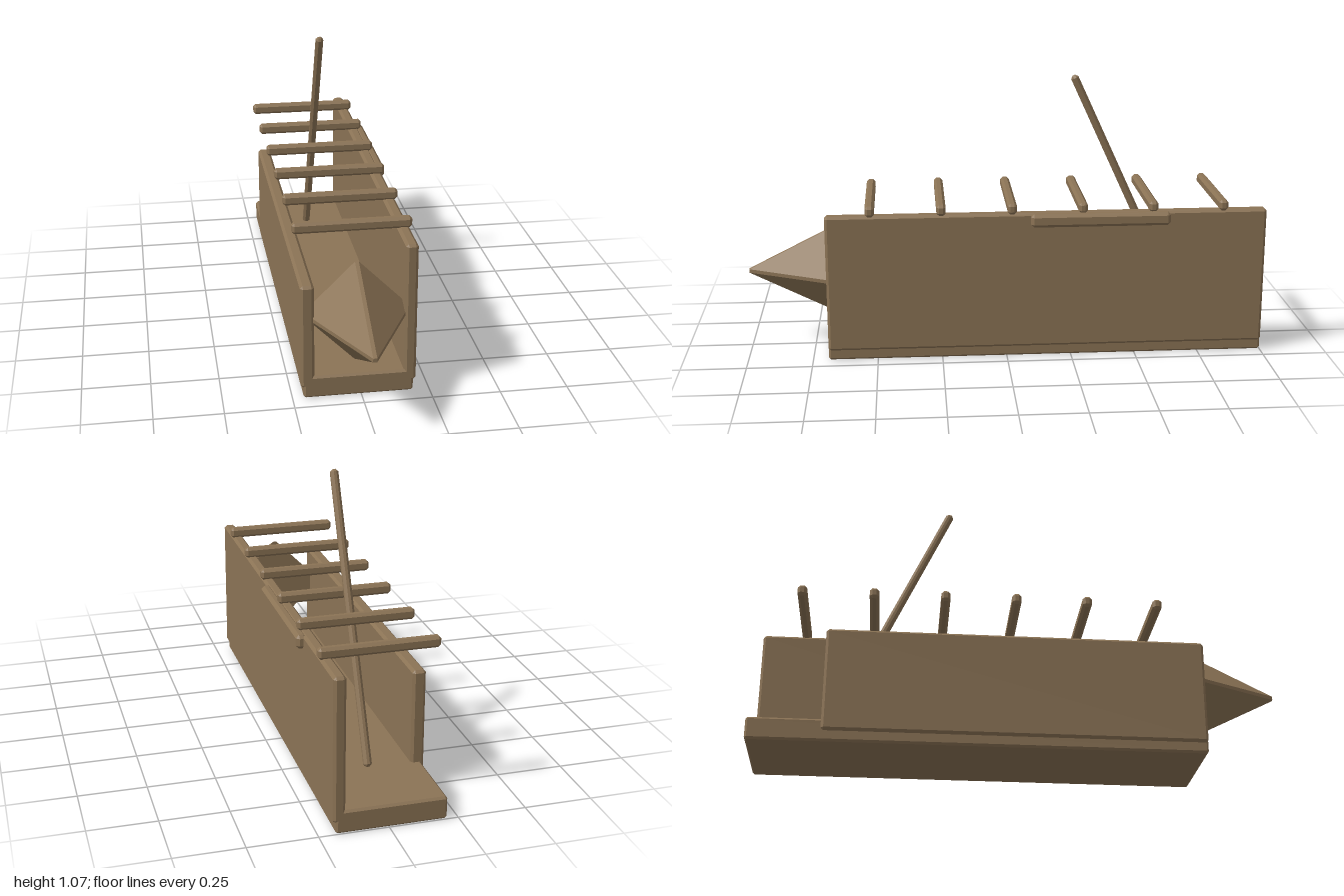
import * as THREE from 'three';
import { ConvexGeometry } from 'three/addons/geometries/ConvexGeometry.js';

const wood = new THREE.MeshStandardMaterial({ color: 0x8b7355 });
wood.name = 'brown wood';

// Box with flat chamfers on every edge, centred on the origin
function chamferBox(w, h, d, c = 0.01) {
  const half = [w / 2, h / 2, d / 2];
  const points = [];
  for (const sx of [-1, 1]) for (const sy of [-1, 1]) for (const sz of [-1, 1]) {
    const s = [sx, sy, sz];
    for (let axis = 0; axis < 3; axis++) {
      points.push(new THREE.Vector3(...s.map((v, i) => v * (half[i] - (i === axis ? 0 : c)))));
    }
  }
  return new ConvexGeometry(points);
}

export function createModel() {
  const model = new THREE.Group();
  model.name = 'openTrough';

  const add = (name, geometry) => {
    const mesh = new THREE.Mesh(geometry, wood);
    mesh.name = name;
    model.add(mesh);
    return mesh;
  };
  // Chamfered box given by its limits on each axis
  const block = (name, [x0, x1], [y0, y1], [z0, z1], c) => {
    const mesh = add(name, chamferBox(x1 - x0, y1 - y0, z1 - z0, c));
    mesh.position.set((x0 + x1) / 2, (y0 + y1) / 2, (z0 + z1) / 2);
    return mesh;
  };

  // Floor, tall wall and shorter low wall
  block('floor', [-0.21, 0.19], [0, 0.085], [-1, 0.69], 0.008);
  block('tallWall', [0.155, 0.2], [0.04, 0.577], [-1, 0.69]);
  block('lowWall', [-0.22, -0.17], [0.04, 0.442], [-0.73, 0.69]);

  // Rail along the outside of the tall wall
  block('sideRail', [0.185, 0.225], [0.525, 0.577], [-0.625, -0.09], 0.012);

  // Six cross bars on top
  for (let i = 0; i < 6; i++) {
    const z = 0.52 - i * 0.27;
    block('crossBar' + (i + 1), [-0.228, 0.208], [0.574, 0.616], [z - 0.0175, z + 0.0175]);
  }

  // Leaning pole, from the floor up between the bars
  const foot = new THREE.Vector3(-0.01, 0.088, -0.723);
  const top = new THREE.Vector3(-0.01, 1.066, -0.272);
  const dir = top.clone().sub(foot);
  const pole = add('leaningPole', chamferBox(0.03, dir.length(), 0.03));
  pole.position.copy(foot).add(top).multiplyScalar(0.5);
  pole.quaternion.setFromUnitVectors(new THREE.Vector3(0, 1, 0), dir.normalize());

  // Four-sided pointed prow with narrow flats along its edges
  const prowPoints = [];
  const e = 0.007, r = 0.193;
  for (const a of [-1, 1]) for (const b of [-1, 1]) {
    prowPoints.push(
      new THREE.Vector3(a * r, b * e, 0.63),
      new THREE.Vector3(a * e, b * r, 0.63),
      new THREE.Vector3(a * e, b * e, 1));
  }
  add('prow', new ConvexGeometry(prowPoints)).position.set(-0.01, 0.307, 0);

  return model;
}
